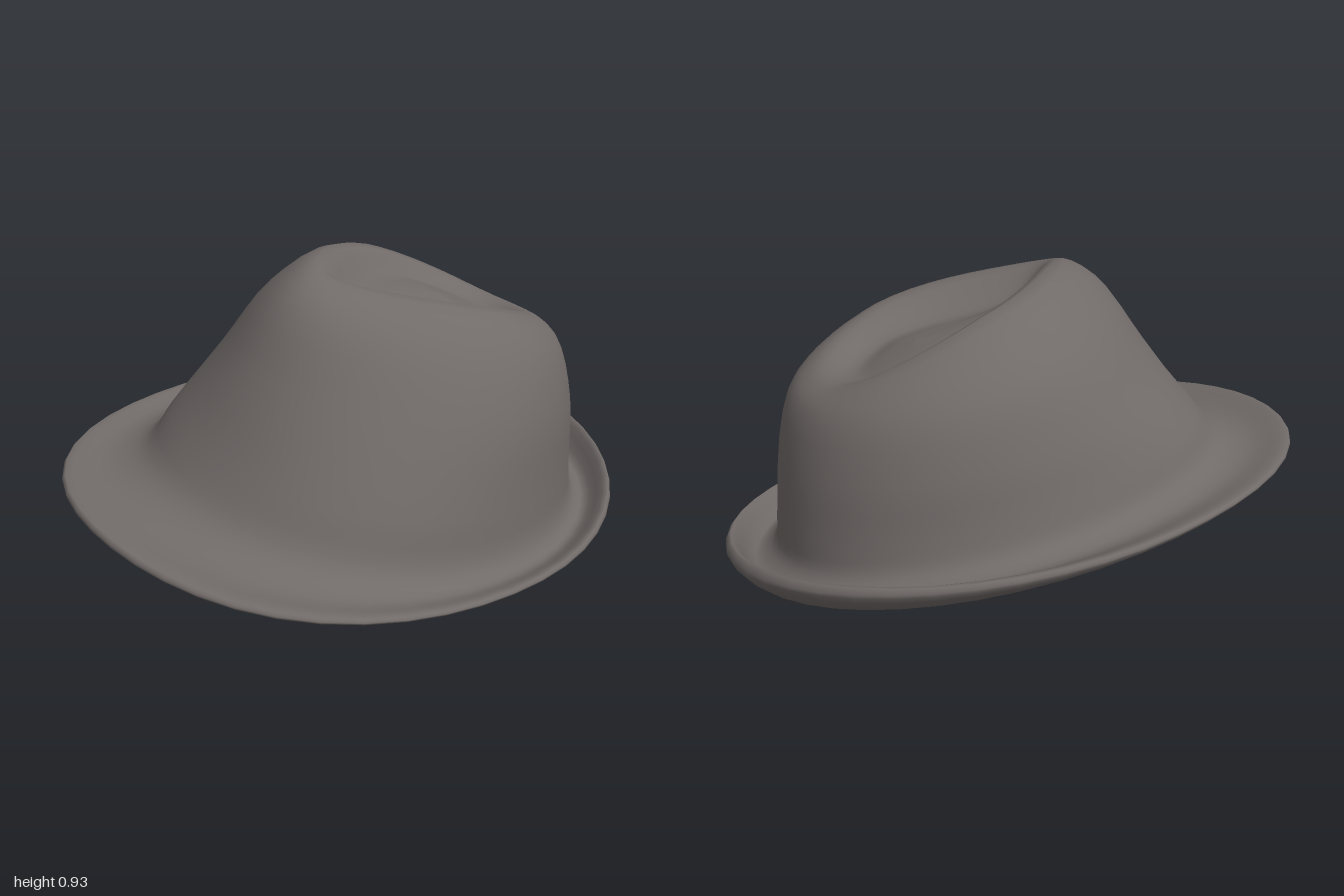
import * as THREE from 'three';

// Each ring: centre x, centre z, side reach (+x, -x), front z, back z,
// heights at +x, -x, front and back, and how strongly the front is pinched.
const crownRings = [
  [0.05, -0.34, 0.052, 0.048, -0.338, -0.342, 0.74, 0.74, 0.74, 0.74, 0],     // dent middle
  [0.05, -0.34, 0.14, -0.04, -0.17, -0.44, 0.715, 0.755, 0.765, 0.70, 0.3],
  [0.05, -0.32, 0.23, -0.12, 0.06, -0.54, 0.695, 0.775, 0.81, 0.66, 0.65],    // dent crease
  [0.04, -0.27, 0.37, -0.21, 0.19, -0.65, 0.765, 0.875, 0.91, 0.665, 0.45],   // ridge
  [0.04, -0.25, 0.505, -0.40, 0.33, -0.73, 0.67, 0.745, 0.85, 0.61, 0.25],    // shoulder
  [0.02, -0.15, 0.60, -0.51, 0.47, -0.79, 0.47, 0.55, 0.64, 0.43, 0.08],
  [0.01, -0.05, 0.635, -0.57, 0.62, -0.82, 0.22, 0.40, 0.40, 0.23, 0],
  [0, -0.03, 0.655, -0.61, 0.72, -0.84, 0.085, 0.31, 0.285, 0.135, 0],        // crown base
];
const brimRings = [
  [0, 0, 0.70, -0.68, 0.85, -0.91, 0.042, 0.285, 0.25, 0.105, 0],             // gutter
  [0, 0, 0.775, -0.775, 0.99, -0.98, 0.066, 0.315, 0.27, 0.20, 0],            // upper edge
  [0, 0, 0.785, -0.785, 1.00, -1.00, 0.05, 0.298, 0.25, 0.165, 0],            // lower edge
  [0, 0, 0.70, -0.70, 0.90, -0.91, 0.02, 0.247, 0.215, 0.075, 0],             // underside roll
  [0, -0.03, 0.57, -0.57, 0.68, -0.75, 0.065, 0.265, 0.245, 0.12, 0],         // head opening
];
const liningRings = [
  [0, -0.05, 0.61, -0.565, 0.63, -0.79, 0.16, 0.35, 0.34, 0.19, 0],
  [0.02, -0.15, 0.585, -0.495, 0.455, -0.775, 0.46, 0.54, 0.63, 0.42, 0.08],
  [0.04, -0.25, 0.49, -0.385, 0.31, -0.715, 0.655, 0.73, 0.83, 0.595, 0.25],
  [0.04, -0.27, 0.36, -0.20, 0.18, -0.64, 0.745, 0.855, 0.885, 0.645, 0.45],
  [0.05, -0.32, 0.23, -0.12, 0.06, -0.54, 0.675, 0.755, 0.79, 0.64, 0.65],
  [0.05, -0.34, 0.052, 0.048, -0.338, -0.342, 0.72, 0.72, 0.72, 0.72, 0],
];

const SIDES = 48;
const STEPS = 4;

function ringPoint([cx, cz, right, left, front, back, yR, yL, yF, yB, pinch], angle) {
  const c = Math.cos(angle), s = Math.sin(angle);
  const ahead = Math.max(0, s);
  // A slightly square front for the wide rings, a teardrop for the pinched ones
  const square = 1 + (s > 0 && pinch === 0 ? 0.04 * Math.sin(2 * angle) ** 2 : 0);
  const x = cx + (c > 0 ? right - cx : cx - left) * c * (1 - pinch * ahead * ahead) * square;
  const z = cz + (s > 0 ? front - cz : cz - back) * s * square;
  const y = (yR + yL + yF + yB) / 4 + (yR - yL) / 2 * c + (yF - yB) / 2 * s
    + (yR + yL - yF - yB) / 4 * Math.cos(2 * angle);
  return new THREE.Vector3(x, y, z);
}

export function createModel() {
  const hat = new THREE.Group();
  hat.name = 'hat';
  const felt = new THREE.MeshStandardMaterial({ color: 0x706a68 });
  felt.name = 'warm grey felt';

  // One smooth skin running over the crown, around the brim and up inside
  const rings = [...crownRings, ...brimRings, ...liningRings];
  const rows = (rings.length - 1) * STEPS;
  const positions = new Float32Array((rows + 1) * SIDES * 3);
  for (let j = 0; j < SIDES; j++) {
    const angle = j / SIDES * Math.PI * 2;
    const profile = new THREE.CatmullRomCurve3(rings.map((ring) => ringPoint(ring, angle)));
    for (let i = 0; i <= rows; i++) {
      profile.getPoint(i / rows).toArray(positions, (i * SIDES + j) * 3);
    }
  }

  function strip(from, to) {
    const index = [];
    for (let i = from; i < to; i++) {
      for (let j = 0; j < SIDES; j++) {
        const k = (j + 1) % SIDES;
        const a = i * SIDES + j, b = i * SIDES + k;
        const c = a + SIDES, d = b + SIDES;
        index.push(a, b, c, b, d, c);
      }
    }
    return index;
  }

  // Close the small holes at the middle of the dent and of the lining
  function cap(row, flip) {
    const index = [];
    for (let j = 1; j < SIDES - 1; j++) {
      const a = row * SIDES, b = a + j, c = b + 1;
      index.push(...(flip ? [a, b, c] : [a, c, b]));
    }
    return index;
  }

  const skin = new THREE.BufferGeometry();
  skin.setAttribute('position', new THREE.BufferAttribute(positions, 3));
  skin.setIndex([...cap(0, false), ...strip(0, rows), ...cap(rows, true)]);
  skin.computeBoundingBox();
  skin.translate(0, -skin.boundingBox.min.y, 0);
  skin.computeVertexNormals();

  // Cut the skin into its parts, sharing normals so the joins stay smooth
  function addPart(name, index) {
    const geometry = new THREE.BufferGeometry();
    geometry.setAttribute('position', skin.attributes.position);
    geometry.setAttribute('normal', skin.attributes.normal);
    geometry.setIndex(index);
    const mesh = new THREE.Mesh(geometry, felt);
    mesh.name = name;
    hat.add(mesh);
  }
  const crownEnd = (crownRings.length - 1) * STEPS;
  const brimEnd = crownEnd + brimRings.length * STEPS;
  addPart('crown', [...cap(0, false), ...strip(0, crownEnd)]);
  addPart('brim', strip(crownEnd, brimEnd));
  addPart('lining', [...strip(brimEnd, rows), ...cap(rows, true)]);

  return hat;
}
